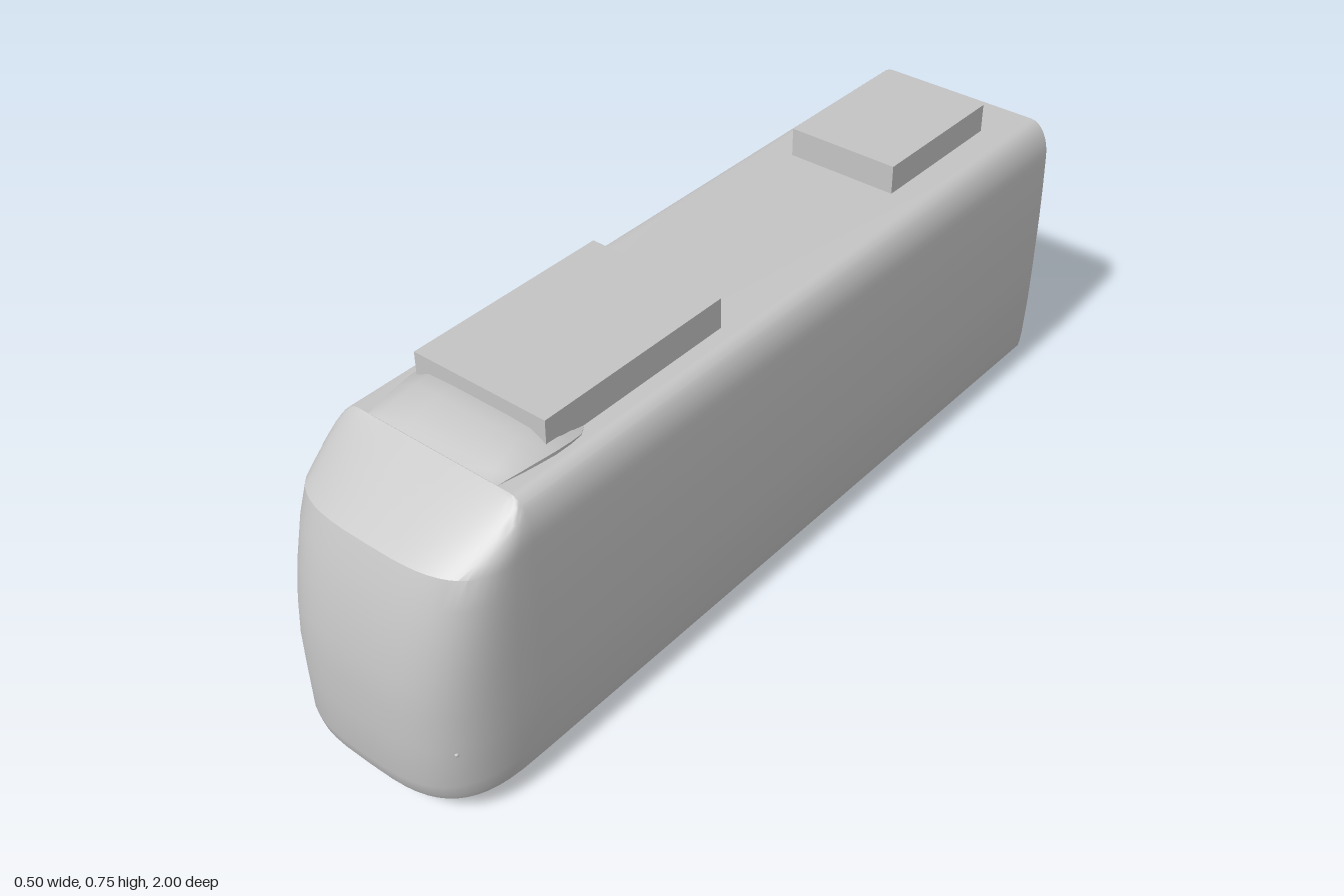
import * as THREE from 'three';
import { toCreasedNormals } from 'three/addons/utils/BufferGeometryUtils.js';

// Skin a stack of equal-length closed rings of [x, y, z] and cap both ends.
function loft(rings, crease) {
  const n = rings[0].length, verts = [];
  const tri = (a, b, c) => verts.push(...a, ...b, ...c);
  const centre = (r) => [0, 1, 2].map((k) => r.reduce((s, p) => s + p[k], 0) / n);
  for (let i = 0; i < rings.length - 1; i++) {
    for (let j = 0; j < n; j++) {
      const k = (j + 1) % n, lo = rings[i], hi = rings[i + 1];
      tri(lo[j], hi[j], lo[k]);
      tri(hi[j], hi[k], lo[k]);
    }
  }
  const first = rings[0], last = rings[rings.length - 1];
  const c0 = centre(first), c1 = centre(last);
  for (let j = 0; j < n; j++) {
    const k = (j + 1) % n;
    tri(c0, first[j], first[k]);
    tri(c1, last[k], last[j]);
  }
  const geo = new THREE.BufferGeometry();
  geo.setAttribute('position', new THREE.Float32BufferAttribute(verts, 3));
  return toCreasedNormals(geo, crease);
}

const SEAM = 0.75; // z where the nose begins

// Plan outline of the car at one height: straight sides, squared-off round nose
function planRing([y, w, front]) {
  const ring = [[w, y, -1]], steps = 28, power = 0.625;
  for (let i = 0; i <= steps; i++) {
    const a = (i / steps) * Math.PI, c = Math.cos(a);
    const x = Math.sign(c) * w * Math.abs(c) ** power;
    const z = SEAM + (front - SEAM) * Math.max(0, Math.sin(a)) ** power;
    ring.push([x, y, i === steps ? SEAM : z]);
  }
  ring.push([-w, y, -1]);
  return ring;
}

function bodyGeometry() {
  // height, half width, nose tip z
  const levels = [
    [0.055, 0.235, 0.985], [0.07, 0.238, 0.993], [0.1, 0.241, 1], [0.2, 0.2455, 1],
    [0.28, 0.247, 1], [0.36, 0.2475, 0.992], [0.44, 0.248, 0.975],
    [0.52, 0.247, 0.952], [0.58, 0.2455, 0.925],
  ];
  // Rounded roof edge, with the windscreen sloping back to the roof
  for (let i = 0; i <= 8; i++) {
    const a = (i / 8) * Math.PI / 2;
    const y = 0.6 + 0.085 * Math.sin(a);
    const front = 0.925 - (0.925 - SEAM) * (y - 0.58) / 0.105;
    levels.push([y, 0.195 + 0.05 * Math.cos(a), front]);
  }
  return loft(levels.map(planRing), 0.5);
}

function fairingGeometry() {
  // z, base half width, top half width, rise above the roof
  const sections = [
    [0.53, 0.17, 0.13, 0.003], [0.55, 0.182, 0.13, 0.012], [0.58, 0.185, 0.13, 0.025],
    [0.62, 0.185, 0.13, 0.038], [0.66, 0.18, 0.13, 0.034], [0.7, 0.174, 0.135, 0.024],
    [0.73, 0.168, 0.14, 0.011], [0.75, 0.165, 0.145, 0.001],
  ];
  const rings = sections.map(([z, w, t, h]) => [
    [-w, 0.68, z], [-w, 0.685 + h * 0.2, z], [-t, 0.685 + h * 0.93, z], [-t * 0.55, 0.685 + h, z],
    [t * 0.55, 0.685 + h, z], [t, 0.685 + h * 0.93, z], [w, 0.685 + h * 0.2, z], [w, 0.68, z],
  ]);
  return loft(rings, 0.6);
}

export function createModel() {
  const model = new THREE.Group();
  const grey = new THREE.MeshStandardMaterial({ color: 0xc4c4c4 });
  grey.name = 'bodyGrey';

  const add = (name, geo, x = 0, y = 0, z = 0) => {
    const mesh = new THREE.Mesh(geo, grey);
    mesh.name = name;
    mesh.position.set(x, y, z);
    model.add(mesh);
    return mesh;
  };

  add('carBody', bodyGeometry());
  add('roofFairing', fairingGeometry());

  // Roof equipment boxes
  add('frontRoofUnit', new THREE.BoxGeometry(0.332, 0.071, 0.5), 0, 0.7195, 0.375);
  add('rearRoofUnit', new THREE.BoxGeometry(0.27, 0.069, 0.365), 0, 0.7175, -0.6925);

  // Bogie plate and its four wheels, half sunk in the floor
  add('bogiePlate', new THREE.BoxGeometry(0.37, 0.006, 0.4), 0, 0.0555, -0.2);
  const wheel = new THREE.CylinderGeometry(0.055, 0.055, 0.021, 8).rotateZ(Math.PI / 2);
  for (const side of [1, -1]) {
    for (const z of [-0.01, -0.385]) {
      add(side > 0 ? 'leftWheel' : 'rightWheel', wheel, side * 0.156, 0.055, z);
    }
    // Small marker lamp on the nose corner
    add(side > 0 ? 'leftLamp' : 'rightLamp', new THREE.SphereGeometry(0.005, 10, 8),
      side * 0.203, 0.188, 0.942);
  }
  return model;
}
